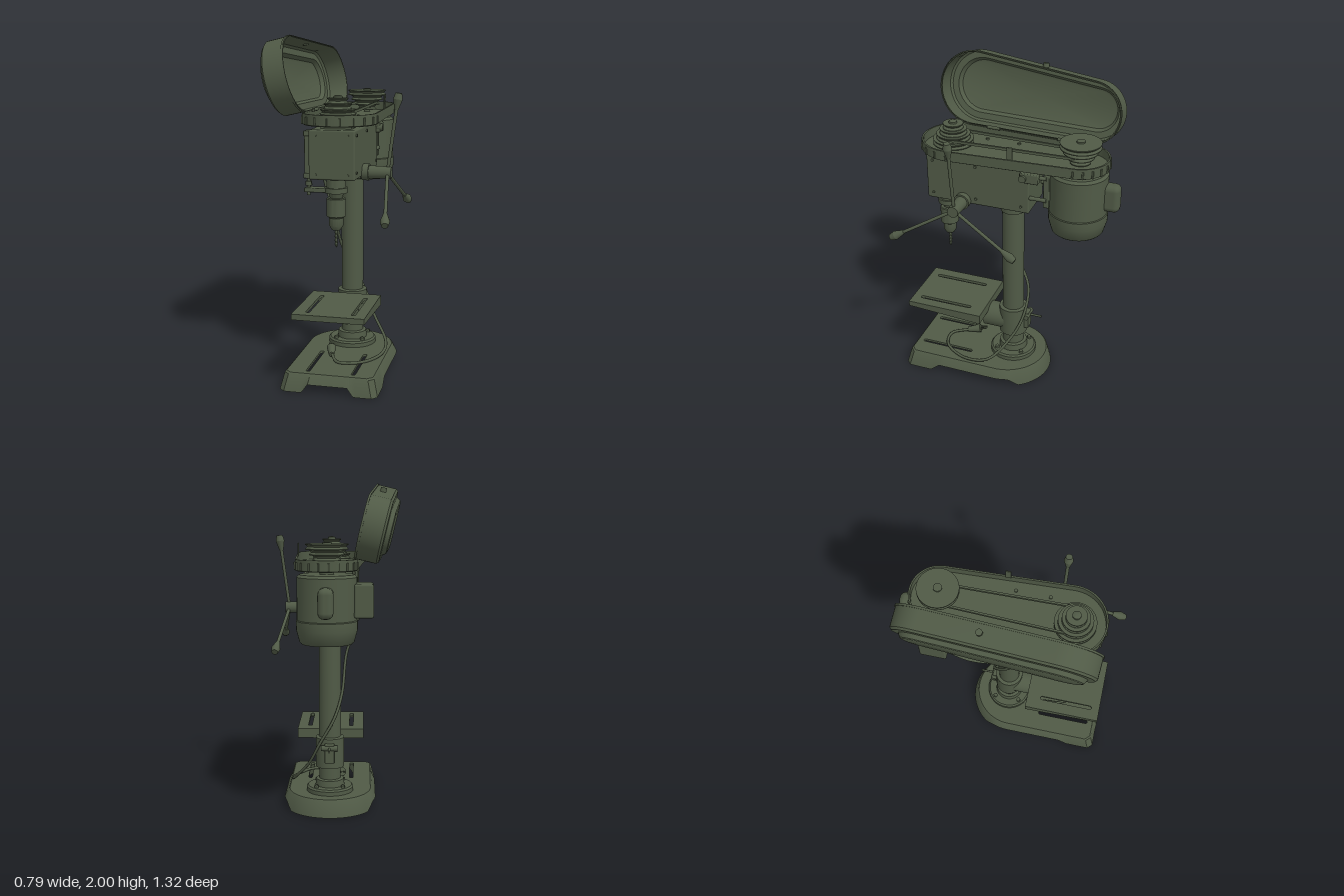
import * as THREE from 'three';
import { toCreasedNormals } from 'three/addons/utils/BufferGeometryUtils.js';
import { RoundedBoxGeometry } from 'three/addons/geometries/RoundedBoxGeometry.js';

const V = (x, y, z) => new THREE.Vector3(x, y, z);

// Outline round two circles joined by their outer tangents; points are [x, z]
function capsule(c1, r1, c2, r2, inset = 0, n = 28) {
  const dx = c2[0] - c1[0], dz = c2[1] - c1[1];
  const phi = Math.atan2(dz, dx), beta = Math.acos((r1 - r2) / Math.hypot(dx, dz));
  const pts = [];
  const arc = (c, r, a, b) => {
    for (let i = 0; i <= n; i++) {
      const t = a + (b - a) * i / n;
      pts.push([c[0] + (r - inset) * Math.cos(t), c[1] + (r - inset) * Math.sin(t)]);
    }
  };
  arc(c1, r1, phi + beta, phi + 2 * Math.PI - beta);
  arc(c2, r2, phi - beta, phi + beta);
  return pts;
}

// Skin between closed rings of equal length, with optional flat end caps
function loft(rings, capStart = false, capEnd = false) {
  const n = rings[0].length, pos = [], idx = [];
  rings.forEach(r => r.forEach(p => pos.push(p.x, p.y, p.z)));
  for (let k = 0; k < rings.length - 1; k++) for (let i = 0; i < n; i++) {
    const a = k * n + i, b = k * n + (i + 1) % n;
    idx.push(a, a + n, b, b, a + n, b + n);
  }
  const cap = (k, flip) => {
    const c = rings[k].reduce((s, p) => s.add(p), V(0, 0, 0)).divideScalar(n), m = pos.length / 3;
    pos.push(c.x, c.y, c.z);
    for (let i = 0; i < n; i++) {
      const a = k * n + i, b = k * n + (i + 1) % n;
      flip ? idx.push(m, b, a) : idx.push(m, a, b);
    }
  };
  if (capStart) cap(0, false);
  if (capEnd) cap(rings.length - 1, true);
  const g = new THREE.BufferGeometry();
  g.setAttribute('position', new THREE.Float32BufferAttribute(pos, 3));
  g.setIndex(idx);
  return toCreasedNormals(g, 0.6);
}

// Horizontal plate with long rounded slots [x, z0, z1, halfWidth]
function slottedPlate(pts, slots, y0, thick) {
  const s = new THREE.Shape(pts.map(p => new THREE.Vector2(p[0], -p[1])));
  for (const [x, z0, z1, w] of slots) {
    const h = new THREE.Path();
    h.absarc(x, -z0, w, 0, Math.PI, false);
    h.absarc(x, -z1, w, Math.PI, 2 * Math.PI, false);
    s.holes.push(h);
  }
  const g = new THREE.ExtrudeGeometry(s, { depth: thick, bevelEnabled: false });
  return g.rotateX(-Math.PI / 2).translate(0, y0, 0);
}

export function createModel() {
  const model = new THREE.Group();
  const green = new THREE.MeshStandardMaterial({ color: 0x505a46, side: THREE.DoubleSide });
  green.name = 'dark olive green';
  const add = (name, geo, x = 0, y = 0, z = 0, parent = model) => {
    const m = new THREE.Mesh(geo, green);
    m.name = name;
    m.position.set(x, y, z);
    parent.add(m);
    return m;
  };
  const box = (name, x0, x1, y0, y1, z0, z1, r = 0.006) => add(name,
    new RoundedBoxGeometry(x1 - x0, y1 - y0, z1 - z0, 2, r), (x0 + x1) / 2, (y0 + y1) / 2, (z0 + z1) / 2);
  const turned = (name, pts, x, z, seg = 40) => add(name,
    toCreasedNormals(new THREE.LatheGeometry(pts.map(p => new THREE.Vector2(p[0], p[1])), seg), 0.6), x, 0, z);
  const rod = (name, a, b, r0, r1 = r0, seg = 20) => {
    const d = b.clone().sub(a);
    const m = add(name, new THREE.CylinderGeometry(r1, r0, d.length(), seg));
    m.position.copy(a).addScaledVector(d, 0.5);
    m.quaternion.setFromUnitVectors(V(0, 1, 0), d.normalize());
    return m;
  };
  const tube = (name, pts, r) => add(name,
    new THREE.TubeGeometry(new THREE.CatmullRomCurve3(pts.map(p => V(...p))), 90, r, 8));
  const cx = 0.04;

  // Base: hollow casting, square front, round back, raised between the feet
  const baseOutline = inset => {
    const w = 0.285 - inset, f = 0.64 - inset, zc = 0.03, k = 0.03, pts = [];
    const line = (a, b, n) => { for (let i = 0; i < n; i++) pts.push([a[0] + (b[0] - a[0]) * i / n, a[1] + (b[1] - a[1]) * i / n]); };
    for (let i = 0; i < 48; i++) {
      const t = Math.PI + Math.PI * i / 48;
      pts.push([cx + w * Math.cos(t), zc + w * Math.sin(t)]);
    }
    line([cx + w, zc], [cx + w, f - k], 40);
    line([cx + w, f - k], [cx + w - k, f], 3);
    line([cx + w - k, f], [cx - w + k, f], 40);
    line([cx - w + k, f], [cx - w, f - k], 3);
    line([cx - w, f - k], [cx - w, zc], 40);
    return pts;
  };
  const ramp = (d, slope) => THREE.MathUtils.clamp(d / slope, 0, 1) * 0.05;
  const footY = ([x, z]) => z > 0.58 ? ramp(0.15 - Math.abs(x - cx), 0.035)
    : Math.abs(x - cx) > 0.1 ? ramp(Math.min(0.46 - z, z + 0.13), 0.06) : 0;
  const skirt = (i0, i1, top) => [baseOutline(i0).map(p => V(p[0], footY(p), p[1])), baseOutline(i1).map(p => V(p[0], top, p[1]))];
  const outerSkirt = skirt(0, 0.024, 0.097), innerSkirt = skirt(0.014, 0.036, 0.092);
  add('baseSkirt', loft([innerSkirt[1], innerSkirt[0], ...outerSkirt, baseOutline(0.032).map(p => V(p[0], 0.105, p[1]))]));
  add('baseTop', slottedPlate(baseOutline(0.032), [[-0.09, 0.24, 0.56, 0.012], [0.175, 0.24, 0.56, 0.012]], 0.09, 0.015));
  turned('baseUnderBoss', [[0, 0.075], [0.15, 0.075], [0.15, 0.092]], cx, -0.01);

  // Column and its foot flange
  turned('columnFlange', [[0.145, 0.1], [0.145, 0.13], [0.135, 0.14], [0.09, 0.14], [0.085, 0.18], [0.067, 0.185]], cx, -0.01);
  rod('column', V(cx, 0.1, -0.01), V(cx, 1.22, -0.01), 0.067, 0.067, 40);
  turned('columnTopCollar', [[0.067, 1.14], [0.076, 1.145], [0.076, 1.22]], cx, -0.01);
  for (let i = 0; i < 4; i++) {
    const a = Math.PI / 4 + i * Math.PI / 2, x = cx + 0.115 * Math.cos(a), z = -0.01 + 0.115 * Math.sin(a);
    rod('flangeBolt', V(x, 0.13, z), V(x, 0.155, z), 0.014, 0.014, 6);
  }

  // Work table with slots, tapering rim, arm and clamp
  const table = i => {
    const x0 = -0.17 + i, x1 = 0.25 - i, z0 = 0.14 + i, z1 = 0.625 - i;
    return [[x0, z0], [x1, z0], [x1, z1], [x0, z1]];
  };
  add('tableTop', slottedPlate(table(0.002), [[-0.09, 0.24, 0.56, 0.012], [0.175, 0.24, 0.56, 0.012]], 0.438, 0.017));
  const rimY = z => 0.395 + (z - 0.14) * 0.055;
  add('tableRim', loft([
    table(0.015).map(p => V(p[0], 0.44, p[1])), table(0.015).map(p => V(p[0], rimY(p[1]), p[1])),
    table(0).map(p => V(p[0], rimY(p[1]), p[1])), table(0).map(p => V(p[0], 0.455, p[1])), table(0.002).map(p => V(p[0], 0.455, p[1]))]));
  const armRing = (z, y0, y1) => [V(0.005, y0, z), V(0.075, y0, z), V(0.075, y1, z), V(0.005, y1, z)];
  add('tableArm', loft([armRing(0.42, 0.37, 0.44), armRing(0.15, 0.335, 0.44)], true, true));
  rod('tableSwivel', V(cx, 0.345, 0), V(cx, 0.345, 0.17), 0.08, 0.08, 36);
  turned('tableClamp', [[0.067, 0.255], [0.088, 0.26], [0.088, 0.445], [0.067, 0.45]], cx, -0.01);
  box('clampLugs', 0.01, 0.07, 0.3, 0.42, -0.12, -0.08);
  rod('clampLever', V(cx, 0.395, -0.1), V(cx, 0.395, -0.2), 0.007);
  rod('clampBolt', V(-0.01, 0.395, -0.11), V(0.09, 0.395, -0.11), 0.018);

  // Head casting
  box('head', -0.1, 0.165, 1.2, 1.48, -0.15, 0.49, 0.01);
  box('headNeck', -0.05, 0.13, 1.47, 1.505, -0.1, 0.42);
  for (const y of [1.24, 1.45]) for (const z of [-0.1, 0.18, 0.45]) rod('headScrew', V(0.16, y, z), V(0.172, y, z), 0.008);
  for (const x of [-0.06, 0.125]) for (const y of [1.23, 1.45]) rod('frontScrew', V(x, y, 0.485), V(x, y, 0.495), 0.007);

  // Quill, chuck and drill bit
  turned('quill', [[0, 1.2], [0.055, 1.2], [0.055, 1.15], [0.065, 1.15], [0.065, 1.12], [0.045, 1.12], [0.035, 1.09], [0, 1.09]], cx, 0.41);
  turned('chuck', [[0, 1.09], [0.05, 1.09], [0.055, 1.085], [0.055, 0.985], [0.04, 0.975], [0.04, 0.93], [0.025, 0.905], [0, 0.905]], cx, 0.41);
  rod('drillBit', V(cx, 0.82, 0.41), V(cx, 0.91, 0.41), 0.008);
  rod('drillPoint', V(cx, 0.8, 0.41), V(cx, 0.82, 0.41), 0.001, 0.008);
  const flute = [];
  for (let i = 0; i <= 24; i++) flute.push([cx + 0.006 * Math.cos(i), 0.81 + i * 0.0036, 0.41 + 0.006 * Math.sin(i)]);
  tube('drillFlute', flute, 0.004);

  // Depth stop on the right of the head
  box('depthStopArm', -0.14, 0.06, 1.12, 1.145, 0.375, 0.445);
  rod('depthRod', V(-0.12, 1.1, 0.41), V(-0.12, 1.47, 0.41), 0.01);
  box('depthScale', -0.135, -0.1, 1.2, 1.46, 0.435, 0.45, 0.003);
  for (const y of [1.2, 1.44]) box('depthBracket', -0.14, -0.09, y, y + 0.03, 0.38, 0.455);
  for (const y of [1.155, 1.28]) rod('depthNut', V(-0.12, y, 0.41), V(-0.12, y + 0.025, 0.41), 0.02, 0.02, 6);
  box('switchBox', -0.13, -0.09, 1.28, 1.4, 0.12, 0.24);
  box('switchButton', -0.14, -0.12, 1.31, 1.37, 0.15, 0.21);

  // Feed hub with three handles
  rod('feedHub', V(0.15, 1.22, 0.26), V(0.33, 1.22, 0.26), 0.04, 0.034, 32);
  rod('feedHubCollar', V(0.16, 1.22, 0.26), V(0.2, 1.22, 0.26), 0.048, 0.048, 32);
  for (let i = 0; i < 3; i++) {
    const a = Math.PI / 2 + i * 2 * Math.PI / 3;
    const at = r => V(0.305 + r * 0.135, 1.22 + r * Math.sin(a), 0.26 + r * Math.cos(a));
    rod('feedSpoke', at(0), at(0.38), 0.01);
    rod('handleNeck', at(0.36), at(0.42), 0.012, 0.027);
    rod('handleGrip', at(0.42), at(0.455), 0.027, 0.019);
  }

  // Belt tray
  const c1 = [0.043, 0.333], c2 = [0.046, -0.412], R1 = 0.213, R2 = 0.174;
  const trayRing = (inset, y) => capsule(c1, R1, c2, R2, inset).map(p => V(p[0], y, p[1]));
  add('beltTray', loft([trayRing(0.008, 1.5), trayRing(0, 1.505), trayRing(0, 1.565), trayRing(0.01, 1.565), trayRing(0.01, 1.512)], true, true));
  capsule(c1, R1, c2, R2, -0.002).forEach((p, i) => {
    if (i % 3 === 0) box('trayRib', p[0] - 0.005, p[0] + 0.005, 1.505, 1.55, p[1] - 0.005, p[1] + 0.005, 0.002);
  });
  for (const [x, z] of [[-0.09, 0], [0.175, 0], [-0.09, 0.2], [0.175, 0.2]]) rod('trayScrew', V(x, 1.51, z), V(x, 1.52, z), 0.01);
  box('lidLatch', 0.222, 0.23, 1.56, 1.64, -0.072, -0.038, 0.003);

  // Stepped pulleys and belt
  const stepped = (radii, y0, step) => {
    const pts = [[0, y0]];
    radii.forEach((r, i) => {
      const y = y0 + i * step;
      pts.push([r, y], [r, y + step * 0.15], [r - 0.012, y + step * 0.5], [r, y + step * 0.85], [r, y + step]);
    });
    pts.push([0, y0 + radii.length * step]);
    return pts;
  };
  turned('spindlePulley', stepped([0.12, 0.1, 0.08, 0.06], 1.525, 0.031), cx, 0.365);
  turned('spindleNut', [[0.025, 1.64], [0.025, 1.66], [0.012, 1.665], [0, 1.665]], cx, 0.365, 12);
  turned('motorPulley', stepped([0.06, 0.08, 0.1, 0.12], 1.525, 0.031), cx + 0.003, -0.414);
  turned('motorPulleyHub', [[0.025, 1.645], [0.025, 1.658], [0, 1.658]], cx + 0.003, -0.414);
  const beltRing = (inset, y) => capsule([cx, 0.365], 0.09, [0.043, -0.414], 0.068, inset).map(p => V(p[0], y, p[1]));
  add('belt', loft([beltRing(0, 1.562), beltRing(0, 1.578), beltRing(0.012, 1.578), beltRing(0.012, 1.562), beltRing(0, 1.562)]));

  // Open lid, hinged on the tray's right edge
  const lid = new THREE.Group();
  lid.name = 'openLid';
  lid.position.set(-0.15, 1.567, 0.33);
  lid.rotation.set(0, -0.054, 1.8, 'YXZ');
  model.add(lid);
  const lidRing = ([inset, y]) => capsule([0.218, 0], 0.218, [0.182, -0.735], 0.182, inset).map(p => V(p[0], y, p[1]));
  add('lidShell', loft([[0.006, 0], [0, 0], [0, 0.125], [0.012, 0.138], [0.05, 0.14], [0.066, 0.165], [0.08, 0.17]].map(lidRing), false, true), 0, 0, 0, lid);
  add('lidRim', loft([[-0.005, 0], [-0.005, 0.012], [0, 0.012]].map(lidRing)), 0, 0, 0, lid);
  add('lidKnob', new THREE.CylinderGeometry(0.018, 0.018, 0.03, 20).rotateZ(Math.PI / 2), 0.405, 0.06, -0.42, lid);
  for (const z of [-0.6, -0.15]) add('lidHinge', new THREE.CylinderGeometry(0.01, 0.01, 0.08, 12).rotateX(Math.PI / 2), 0, 0, z, lid);

  // Motor with end bell, vent, boxes and mounting rods
  const mx = 0.043, mz = -0.412;
  turned('motor', [[0, 1.48], [0.155, 1.48], [0.17, 1.465], [0.17, 1.225], [0.174, 1.22], [0.174, 1.17], [0.155, 1.1], [0.145, 1.09], [0.125, 1.09], [0.125, 1.1], [0, 1.1]], mx, mz, 48);
  turned('motorShaft', [[0.04, 1.47], [0.04, 1.49], [0.02, 1.49], [0.02, 1.54]], mx, mz);
  for (const r of [0.04, 0.07, 0.1]) add('ventRing', new THREE.TorusGeometry(r, 0.005, 6, 36).rotateX(Math.PI / 2), mx, 1.095, mz);
  for (let i = 0; i < 8; i++) {
    const a = i * Math.PI / 4;
    rod('ventSpoke', V(mx, 1.095, mz), V(mx + 0.13 * Math.cos(a), 1.095, mz + 0.13 * Math.sin(a)), 0.005, 0.005, 6);
  }
  box('capacitorCover', 0, 0.087, 1.25, 1.42, -0.66, -0.54, 0.035);
  box('junctionBox', -0.22, -0.11, 1.24, 1.43, -0.49, -0.33, 0.012);
  box('motorMount', -0.06, 0.15, 1.25, 1.46, -0.265, -0.23);
  for (const x of [-0.07, 0.15]) {
    for (const y of [1.3, 1.44]) rod('slideRod', V(x, y, -0.25), V(x, y, -0.12), 0.012);
  }
  rod('tensionKnob', V(0.16, 1.44, -0.12), V(0.205, 1.44, -0.12), 0.022, 0.022, 12);
  box('tensionLug', 0.15, 0.19, 1.41, 1.47, -0.21, -0.1);

  // Cables and plug
  tube('motorCable', [[-0.17, 1.26, -0.34], [-0.19, 1.24, -0.2], [-0.17, 1.22, -0.05], [-0.15, 1.27, 0.08], [-0.11, 1.32, 0.14]], 0.01);
  tube('powerCable', [[-0.12, 1.3, 0.16], [-0.11, 1.12, 0.08], [-0.06, 0.95, 0.075], [-0.035, 0.72, -0.03], [0.01, 0.58, -0.1],
    [0.1, 0.42, -0.1], [0.17, 0.28, -0.04], [0.27, 0.15, 0.08], [0.27, 0.118, 0.24], [0.17, 0.116, 0.4], [0.05, 0.116, 0.42], [-0.01, 0.125, 0.32]], 0.009);
  rod('plug', V(-0.01, 0.125, 0.33), V(-0.03, 0.14, 0.25), 0.016, 0.028);
  for (const d of [-0.012, 0.012]) rod('plugPin', V(-0.03 + d, 0.14, 0.25), V(-0.04 + d, 0.15, 0.21), 0.005);
  return model;
}
